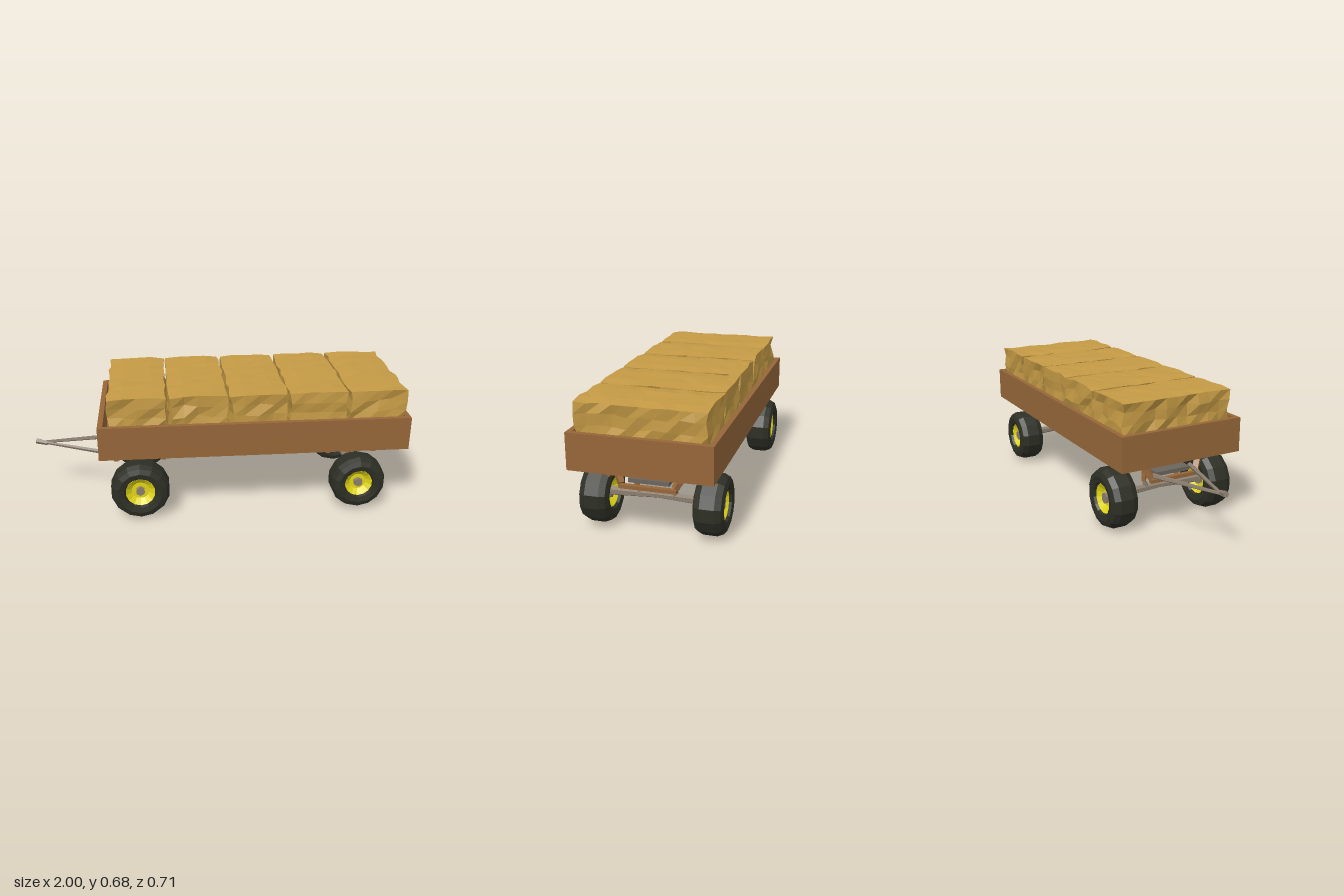
import * as THREE from 'three';

const mat = (name, color, double = false) => {
  const m = new THREE.MeshStandardMaterial({ color, flatShading: true });
  m.name = name;
  if (double) m.side = THREE.DoubleSide;
  return m;
};

export function createModel() {
  const wagon = new THREE.Group();
  wagon.name = 'hayWagon';
  const wood = mat('wood', 0x966639);
  const straw = mat('straw', 0xc49a45);
  const rubber = mat('rubber', 0x2d2f25, true);
  const yellow = mat('yellowRim', 0xe2d616, true);
  const steel = mat('steel', 0x8a7d6e);
  const plate = mat('darkSteel', 0x6a655c);

  const add = (name, geo, material, x = 0, y = 0, z = 0, parent = wagon) => {
    const m = new THREE.Mesh(geo, material);
    m.name = name;
    m.position.set(x, y, z);
    parent.add(m);
    return m;
  };
  // Box given by its lower and upper corners
  const block = (name, material, x0, x1, y0, y1, z0, z1) =>
    add(name, new THREE.BoxGeometry(x1 - x0, y1 - y0, z1 - z0), material,
      (x0 + x1) / 2, (y0 + y1) / 2, (z0 + z1) / 2);
  // Tapered bar between two points
  const bar = (name, material, a, b, ra, rb, sides = 5) => {
    const p = new THREE.Vector3(...a), q = new THREE.Vector3(...b);
    const d = q.clone().sub(p);
    const m = add(name, new THREE.CylinderGeometry(rb, ra, d.length(), sides), material);
    m.position.copy(p).add(q).multiplyScalar(0.5);
    m.quaternion.setFromUnitVectors(new THREE.Vector3(0, 1, 0), d.normalize());
    return m;
  };
  // Repeatable noise in -1..1
  const noise = (a, b, c) => {
    const s = Math.sin(a * 127.1 + b * 311.7 + c * 74.7) * 43758.5453;
    return (s - Math.floor(s)) * 2 - 1;
  };

  // Cargo box
  block('floor', wood, -0.61, 0.97, 0.375, 0.4, -0.32, 0.32);
  for (const s of [-1, 1]) {
    const z = s * 0.33;
    block('sideBoard', wood, -0.635, 0.995, 0.36, 0.54, z - 0.013, z + 0.013);
  }
  block('headBoard', wood, -0.635, -0.608, 0.36, 0.54, -0.317, 0.317);
  block('tailBoard', wood, 0.968, 0.995, 0.36, 0.54, -0.317, 0.317);

  // Straw bales with ragged edges and dented ends
  const hx = 0.149, hz = 0.31, y0 = 0.4, y1 = 0.685;
  for (let i = 0; i < 5; i++) {
    const geo = new THREE.BoxGeometry(hx * 2, y1 - y0, hz * 2, 4, 5, 10);
    const p = geo.attributes.position;
    const v = new THREE.Vector3();
    for (let k = 0; k < p.count; k++) {
      v.fromBufferAttribute(p, k);
      const a = Math.round(v.x * 100), b = Math.round(v.y * 100), c = Math.round(v.z * 100);
      const n = [noise(a + i * 9, b, c), noise(b, c + i * 5, a), noise(c, a, b + i * 7)];
      const top = v.y > 0.14;
      const onX = Math.abs(v.x) > hx - 0.01, onZ = Math.abs(v.z) > hz - 0.01;
      v.x += n[0] * 0.008 - (onX && !top ? Math.sign(v.x) * Math.max(0, n[1]) * 0.018 : 0);
      v.z += n[1] * 0.006 - (onZ && !top ? Math.sign(v.z) * Math.max(0, n[2]) * 0.016 : 0);
      v.y += top ? n[2] * 0.003 - (onX ? 0.006 : 0) : n[2] * 0.008;
      p.setXYZ(k, v.x, v.y, v.z);
    }
    geo.computeVertexNormals();
    add('strawBale', geo, straw, -0.43 + i * 0.3125, (y0 + y1) / 2, 0);
  }

  // Chassis rails and cross members
  for (const s of [-1, 1])
    block('chassisRail', wood, -0.51, 0.85, 0.305, 0.376, s * 0.15 - 0.02, s * 0.15 + 0.02);
  for (const x of [-0.49, -0.22, 0.17, 0.55, 0.83])
    block('crossMember', wood, x - 0.02, x + 0.02, 0.315, 0.376, -0.13, 0.13);

  // Loose dark sheet hanging under the floor
  const sheet = new THREE.Shape([[0.14, -0.12], [0.55, 0.16], [0.15, 0.17]]
    .map(([x, z]) => new THREE.Vector2(x, z)));
  add('underSheet', new THREE.ShapeGeometry(sheet), rubber, 0, 0.357, 0).rotation.x = Math.PI / 2;

  // Tyre, rim and hub profiles as radius and width
  const lathe = (pts, r) => new THREE.LatheGeometry(
    pts.map(([a, b]) => new THREE.Vector2(a * r, b)), 14).rotateX(Math.PI / 2);
  const tyre = [[0.49, -0.045], [0.55, -0.068], [0.74, -0.074], [0.91, -0.064], [1, -0.035],
    [1, 0.035], [0.91, 0.064], [0.74, 0.074], [0.55, 0.068], [0.49, 0.045], [0.49, -0.045]];
  const rim = [[0, -0.03], [0.3, -0.03], [0.5, -0.055], [0.5, 0.055], [0.3, 0.03], [0, 0.03]];

  for (const [x, r, y] of [[-0.43, 0.157, 0.16], [0.745, 0.148, 0.16]]) {
    for (const s of [-1, 1]) {
      const wheel = new THREE.Group();
      wheel.name = 'wheel';
      wheel.position.set(x, y, s * 0.28);
      add('tyre', lathe(tyre, r), rubber, 0, 0, 0, wheel);
      add('rim', lathe(rim, r), yellow, 0, 0, 0, wheel);
      add('hub', new THREE.CylinderGeometry(0.024, 0.03, 0.1, 6).rotateX(Math.PI / 2),
        steel, 0, 0, 0, wheel);
      wagon.add(wheel);
      // Axle half, thicker at the wheel
      bar('axle', steel, [x, 0.172, 0], [x, 0.168, s * 0.23], 0.015, 0.024, 6);
      // Braces between axle and chassis
      bar('axleBracket', wood, [x, 0.21, s * 0.1], [x, 0.33, s * 0.092], 0.014, 0.02, 4);
      bar('bracketFoot', steel, [x, 0.172, s * 0.085], [x, 0.215, s * 0.1], 0.02, 0.008, 4);
      for (const d of [-1, 1])
        bar('brace', wood, [x + d * 0.13, 0.272, s * 0.13], [x + d * 0.09, 0.35, s * 0.17],
          0.018, 0.026, 4);
    }
    // Bolster plate with wooden lips front and back
    block('bolsterPlate', plate, x - 0.12, x + 0.12, 0.275, 0.295, -0.1, 0.1);
    for (const d of [-1, 1])
      block('bolsterLip', wood, x + d * 0.13 - 0.012, x + d * 0.13 + 0.012, 0.25, 0.268, -0.14, 0.14);
  }
  for (const s of [-1, 1])
    bar('tailBracket', wood, [0.82, 0.335, s * 0.15], [0.93, 0.33, s * 0.17], 0.022, 0.012, 4);

  // Drawbar arms and hitch
  for (const s of [-1, 1])
    bar('drawbarArm', steel, [-0.5, 0.28, s * 0.135], [-0.965, 0.313, -0.008], 0.014, 0.008);
  bar('hitch', steel, [-0.94, 0.31, 0], [-1, 0.323, -0.008], 0.012, 0.016);

  return wagon;
}
